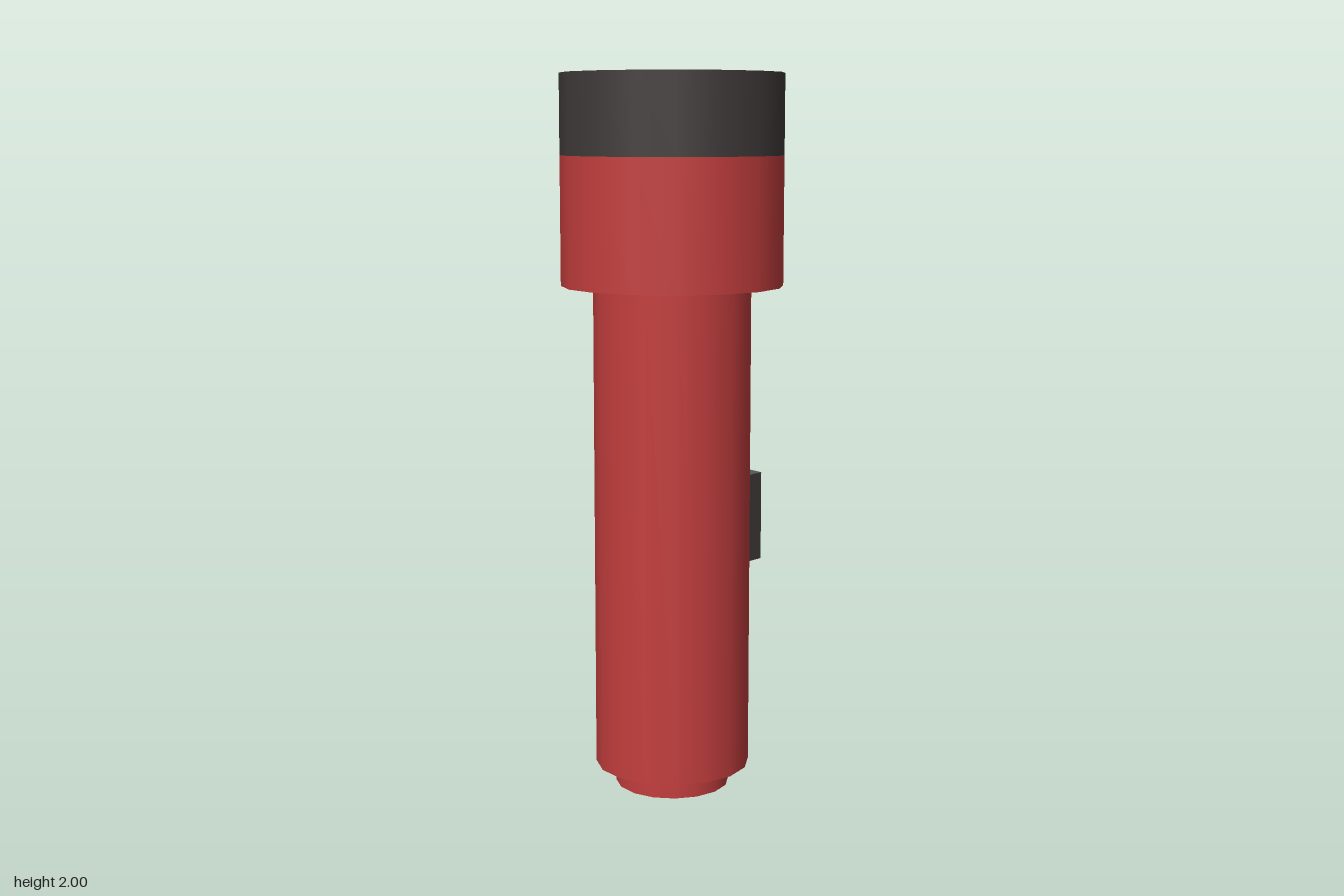
import * as THREE from 'three';
import { mergeGeometries } from 'three/addons/utils/BufferGeometryUtils.js';

const SIDES = 16;

const paint = (name, color) => {
  const m = new THREE.MeshStandardMaterial({ color });
  m.name = name;
  return m;
};

// Turned shape: smooth around its axis, sharp at every profile corner.
// An ascending profile faces outwards, a descending one inwards.
function turned(name, profile, material) {
  const bands = [];
  for (let i = 0; i < profile.length - 1; i++) {
    const pts = [profile[i], profile[i + 1]].map(([r, y]) => new THREE.Vector2(r, y));
    bands.push(new THREE.LatheGeometry(pts, SIDES));
  }
  const mesh = new THREE.Mesh(mergeGeometries(bands), material);
  mesh.name = name;
  return mesh;
}

export function createModel() {
  const red = paint('red casing', 0xc43e3e);
  const black = paint('black rubber', 0x403b3a);
  const grey = paint('dark grey', 0x555555);
  const glass = paint('pale lens', 0xc9c9c9);

  const torch = new THREE.Group();
  torch.name = 'flashlight';

  // Casing: end cap, handle and wide head
  torch.add(
    turned('endCap', [[0, 0], [0.161, 0], [0.161, 0.06]], red),
    turned('handle', [[0.161, 0.06], [0.2185, 0.06], [0.2185, 1.425]], red),
    turned('head', [[0.2185, 1.425], [0.307, 1.425], [0.307, 1.78]], red),
  );

  // Bezel: outer band, top rim, recess wall and recess floor
  torch.add(
    turned('bezelBand', [[0.307, 1.78], [0.307, 2]], black),
    turned('bezelRim', [[0.307, 2], [0.262, 2]], grey),
    turned('recessWall', [[0.262, 2], [0.262, 1.95]], black),
    turned('recessFloor', [[0.262, 1.95], [0, 1.95]], grey),
  );

  // Round lens lying on the recess floor
  const lens = new THREE.Mesh(new THREE.CircleGeometry(0.225, 48), glass);
  lens.name = 'lens';
  lens.rotation.x = -Math.PI / 2;
  lens.position.y = 1.953;
  torch.add(lens);

  // Switch on the left side, with a slightly peaked outer face
  const outline = new THREE.Shape([
    [0.198, -0.085], [0.29, -0.085], [0.307, 0], [0.29, 0.085], [0.198, 0.085],
  ].map(([x, y]) => new THREE.Vector2(x, y)));
  const button = new THREE.Mesh(
    new THREE.ExtrudeGeometry(outline, { depth: 0.255, bevelEnabled: false }),
    [grey, black],
  );
  button.name = 'switch';
  button.rotation.x = -Math.PI / 2;
  button.position.y = 0.615;
  torch.add(button);

  return torch;
}
